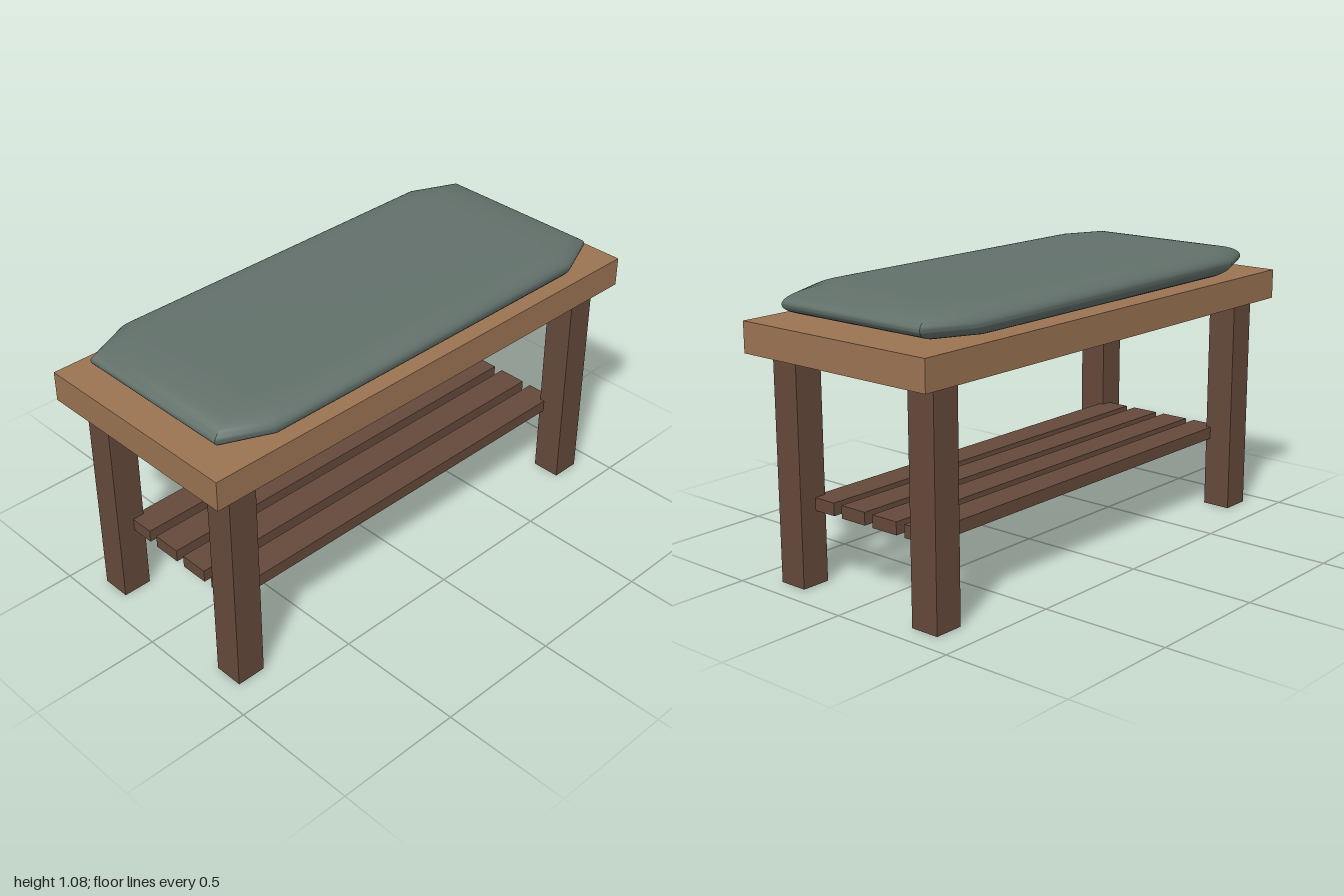
import * as THREE from 'three';
import { toCreasedNormals } from 'three/addons/utils/BufferGeometryUtils.js';

// Eight-cornered outline, anticlockwise seen from above
function octagon(xEnd, zEnd, xSide, zSide) {
  return [
    [xEnd, zEnd], [xEnd, -zEnd], [xSide, -zSide], [-xSide, -zSide],
    [-xEnd, -zEnd], [-xEnd, zEnd], [-xSide, zSide], [xSide, zSide],
  ];
}

// Pillow: flat top and bottom, edges swelling outward in a half ellipse
function cushionGeometry(bottom, top) {
  const inner = octagon(0.70, 0.25, 0.565, 0.31);
  const outer = octagon(0.915, 0.325, 0.735, 0.405);
  const steps = 28, n = inner.length;
  const mid = (top + bottom) / 2, half = (top - bottom) / 2;
  const positions = [], index = [];
  for (let i = 0; i <= steps; i++) {
    const a = Math.PI * i / steps, swell = Math.sin(a);
    for (let j = 0; j < n; j++) {
      positions.push(
        THREE.MathUtils.lerp(inner[j][0], outer[j][0], swell),
        mid + half * Math.cos(a),
        THREE.MathUtils.lerp(inner[j][1], outer[j][1], swell));
    }
  }
  const topCentre = positions.length / 3;
  positions.push(0, top, 0, 0, bottom, 0);
  for (let j = 0; j < n; j++) {
    const k = (j + 1) % n, last = steps * n;
    for (let i = 0; i < steps; i++) {
      const a = i * n, b = a + n;
      index.push(a + j, b + j, b + k, a + j, b + k, a + k);
    }
    index.push(topCentre, j, k, topCentre + 1, last + k, last + j);
  }
  const geometry = new THREE.BufferGeometry();
  geometry.setAttribute('position', new THREE.Float32BufferAttribute(positions, 3));
  geometry.setIndex(index);
  return toCreasedNormals(geometry, 0.6);
}

export function createModel() {
  const lightWood = new THREE.MeshStandardMaterial({ name: 'light wood', color: 0x9a7352 });
  const darkWood = new THREE.MeshStandardMaterial({ name: 'dark wood', color: 0x65493a });
  const fabric = new THREE.MeshStandardMaterial({ name: 'green fabric', color: 0x62706a });

  const model = new THREE.Group();
  model.name = 'bench';
  const add = (name, geometry, material, x, y, z) => {
    const mesh = new THREE.Mesh(geometry, material);
    mesh.name = name;
    mesh.position.set(x, y, z);
    model.add(mesh);
  };

  // Seat board and cushion
  add('seat', new THREE.BoxGeometry(2, 0.114, 0.856), lightWood, 0, 0.905, 0);
  add('cushion', cushionGeometry(0.962, 1.075), fabric, 0, 0, 0);

  // Four square legs
  const leg = new THREE.BoxGeometry(0.114, 0.848, 0.114);
  for (const x of [-1, 1]) {
    for (const z of [-1, 1]) {
      const name = (z > 0 ? 'front' : 'back') + (x > 0 ? 'Left' : 'Right') + 'Leg';
      add(name, leg, darkWood, x * 0.858, 0.424, z * 0.323);
    }
  }

  // Slatted lower shelf
  const slat = new THREE.BoxGeometry(1.694, 0.048, 0.114);
  for (let i = 0; i < 4; i++) {
    add('shelfSlat' + (i + 1), slat, darkWood, 0, 0.301, (i - 1.5) * 0.152);
  }
  return model;
}
